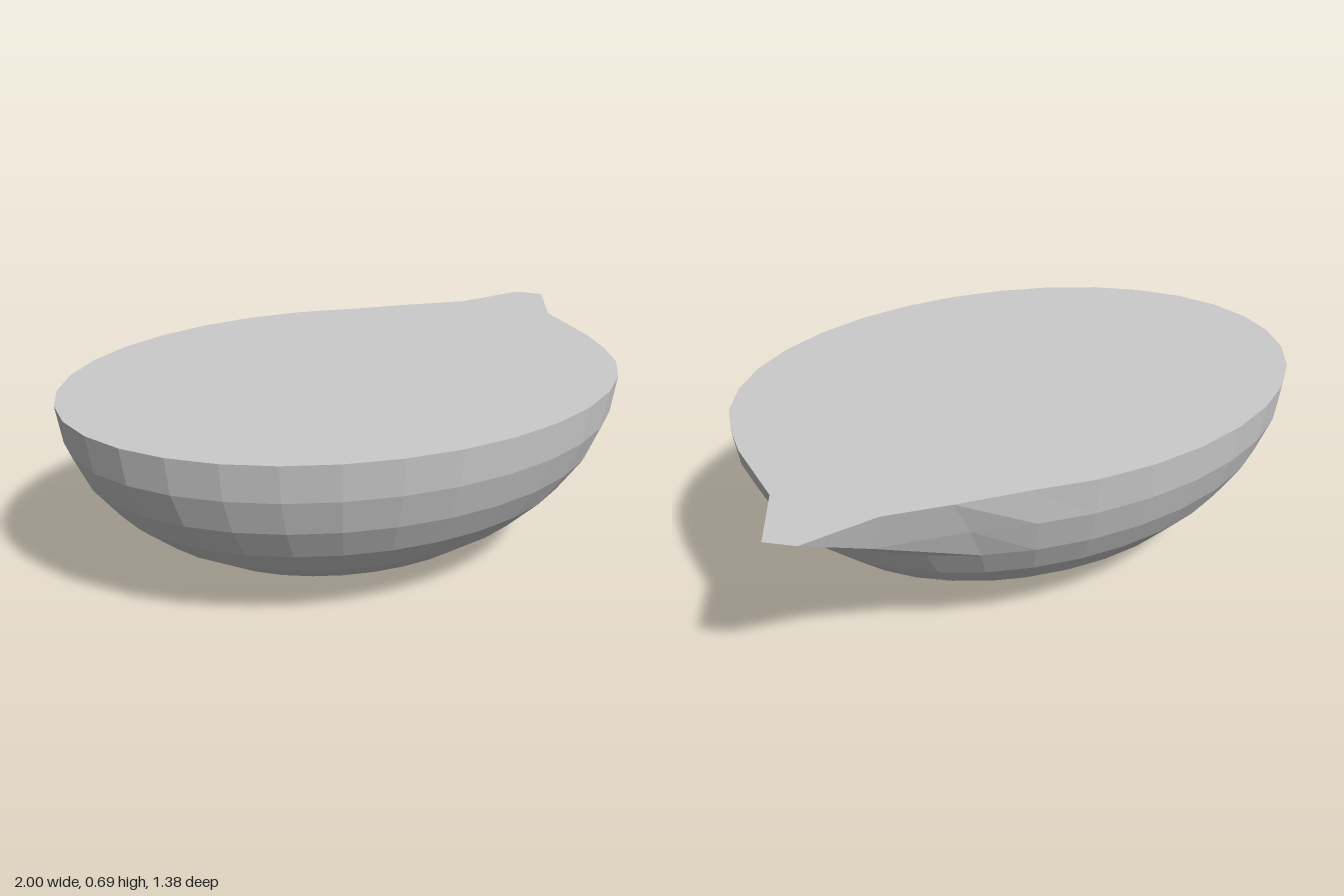
import * as THREE from 'three';

const SEGMENTS = 32, RINGS = 8;
const A = 0.985, B = 0.685, H = 0.685, CX = -0.015;

// Columns run counter-clockwise from +x; column 4 is doubled to form the spout lip.
const columns = [];
for (let k = 0; k < SEGMENTS; k++) {
  columns.push(k);
  if (k === 4) columns.push(4);
}

// Rim points pulled outward around the spout, by column index: [x, z]
const rimPull = {
  0: [0.97, 0], 1: [0.97, -0.13], 2: [0.95, -0.27], 3: [0.93, -0.41], 4: [1.0, -0.635],
  5: [0.91, -0.69], 6: [0.66, -0.635], 7: [0.44, -0.654], 8: [0.2, -0.667],
};
// Points one ring lower that follow the spout
const neckPull = { 4: [0.8, -0.52], 5: [0.8, -0.52], 6: [0.68, -0.6], 7: [0.38, -0.625] };

function bowlPoint(ring, i) {
  const t = (columns[i] / SEGMENTS) * Math.PI * 2;
  const p = (ring / RINGS) * Math.PI / 2;
  const y = H * (1 - Math.sin(p));
  const pull = ring === 0 ? rimPull[i] : ring === 1 ? neckPull[i] : null;
  if (pull) return [pull[0], y, pull[1]];
  return [CX + A * Math.cos(p) * Math.cos(t), y, -B * Math.cos(p) * Math.sin(t)];
}

function flatMesh(name, positions) {
  const geometry = new THREE.BufferGeometry();
  geometry.setAttribute('position', new THREE.Float32BufferAttribute(positions, 3));
  geometry.computeVertexNormals();
  const mesh = new THREE.Mesh(geometry, new THREE.MeshStandardMaterial({ color: 0xcccccc, flatShading: true }));
  mesh.name = name;
  return mesh;
}

export function createModel() {
  const group = new THREE.Group();
  group.name = 'spoutedBowl';
  const n = columns.length;
  const shell = [], top = [];

  for (let i = 0; i < n; i++) {
    const j = (i + 1) % n;
    // Rounded underside, ring by ring down to the pole
    for (let r = 0; r < RINGS; r++) {
      const a = bowlPoint(r, i), b = bowlPoint(r + 1, i);
      const c = bowlPoint(r + 1, j), d = bowlPoint(r, j);
      const doubled = columns[i] === columns[j];
      if (r < RINGS - 1 && !doubled) shell.push(...a, ...b, ...c);
      if (!doubled || r === 0) shell.push(...a, ...c, ...d);
    }
    // Flat top
    top.push(CX, H, 0, ...bowlPoint(0, i), ...bowlPoint(0, j));
  }

  group.add(flatMesh('bowlShell', shell), flatMesh('flatTop', top));
  return group;
}
